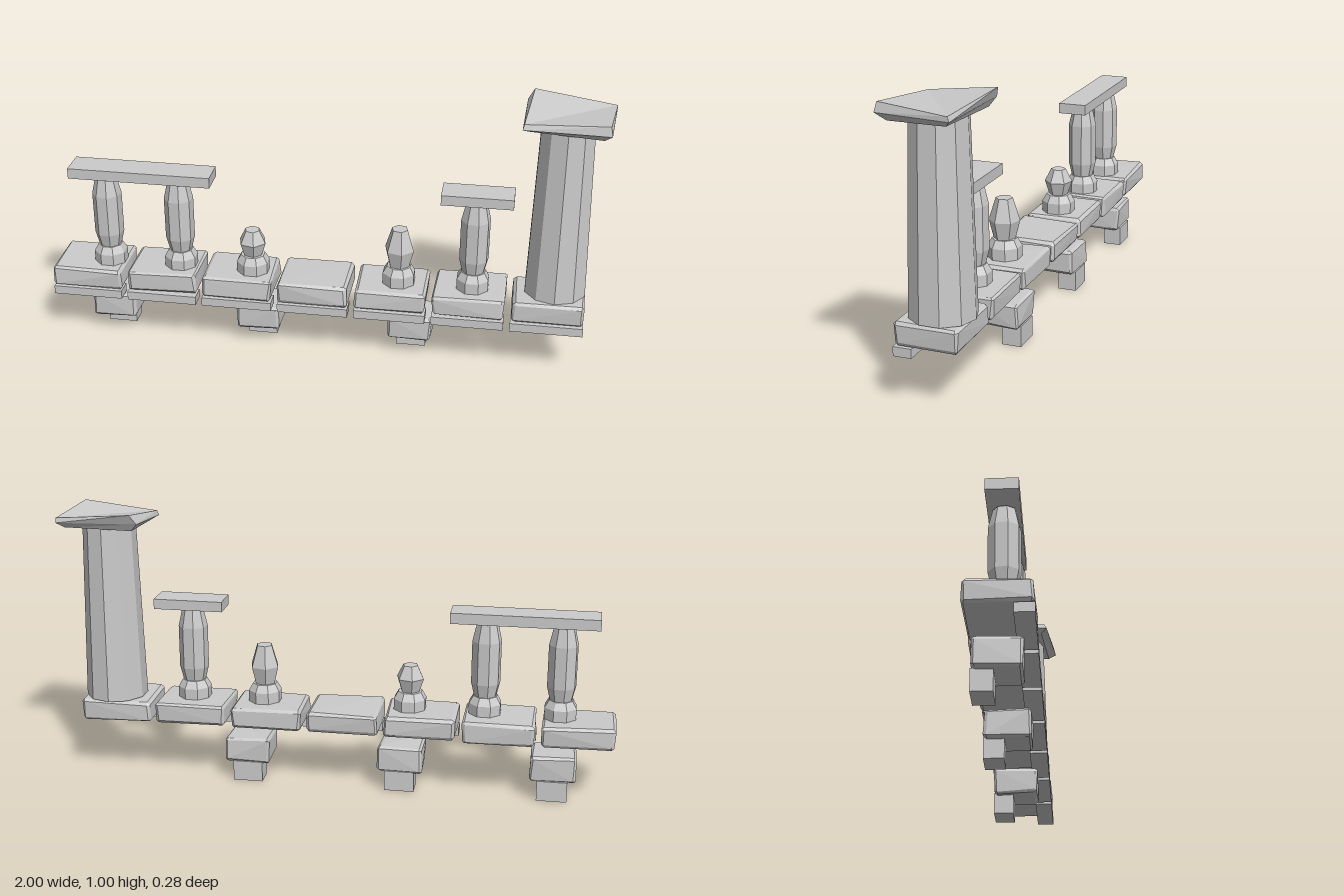
import * as THREE from 'three';
import { ConvexGeometry } from 'three/addons/geometries/ConvexGeometry.js';

export function createModel() {
  const model = new THREE.Group();
  const stone = new THREE.MeshStandardMaterial({ color: 0xcccccc, flatShading: true });

  let seed = 7;
  const jitter = (amount) => {
    seed = (seed * 16807) % 2147483647;
    return (seed / 2147483647 - 0.5) * 2 * amount;
  };

  const add = (name, geometry, parent = model) => {
    const mesh = new THREE.Mesh(geometry, stone);
    mesh.name = name;
    parent.add(mesh);
    return mesh;
  };

  // Plain box given by its limits
  const box = (name, [x0, x1], [y0, y1], [z0, z1], parent) => {
    const g = new THREE.BoxGeometry(x1 - x0, y1 - y0, z1 - z0);
    g.translate((x0 + x1) / 2, (y0 + y1) / 2, (z0 + z1) / 2);
    return add(name, g, parent);
  };

  // Rough-hewn block: uneven corners, each cut into a small chamfer
  const roughBlock = (name, xs, ys, zs, cut, wobble, parent) => {
    const points = [];
    for (const i of [0, 1]) for (const j of [0, 1]) for (const k of [0, 1]) {
      const sign = [i, j, k].map((n) => (n ? -1 : 1));
      const corner = [xs[i], ys[j], zs[k]].map((v, a) => v + sign[a] * Math.abs(jitter(wobble)));
      for (let axis = 0; axis < 3; axis++) {
        const p = corner.map((v, a) => (a === axis ? v : v + sign[a] * (cut + jitter(cut * 0.4))));
        points.push(new THREE.Vector3(...p));
      }
    }
    return add(name, new ConvexGeometry(points), parent);
  };

  const lathe = (profile, sides) =>
    new THREE.LatheGeometry(profile.map(([r, y]) => new THREE.Vector2(r, y)), sides);

  // Row of floor slabs with a moulding strip under the front edge
  for (let i = 0; i < 7; i++) {
    const x = -1 + i * 0.281;
    roughBlock('floorSlab', [x, x + 0.262], [0.207, 0.291], [-0.1, 0.12], 0.009, 0.007);
    box('frontStrip', [x + 0.002, x + 0.26], [0.174, 0.206], [0.057, 0.12]);
  }

  // Stepped corbels under the slabs
  for (const x of [-0.784, -0.235, 0.326]) {
    const corbel = new THREE.Group();
    corbel.name = 'corbel';
    roughBlock('upperCorbel', [x - 0.084, x + 0.084], [0.066, 0.168], [-0.081, 0.083], 0.009, 0.008, corbel);
    box('lowerCorbel', [x - 0.054, x + 0.054], [0, 0.075], [-0.08, -0.01], corbel);
    model.add(corbel);
  }

  // Balusters: three whole, two broken off short
  const foot = [[0, 0.285], [0.061, 0.285], [0.061, 0.328], [0.045, 0.355], [0, 0.355]];
  const whole = [[0, 0.335], [0.036, 0.335], [0.053, 0.405], [0.053, 0.56], [0.038, 0.625], [0, 0.632]];
  const low = [[0, 0.335], [0.032, 0.345], [0.052, 0.405], [0.028, 0.453], [0, 0.453]];
  const high = [[0, 0.335], [0.036, 0.345], [0.055, 0.42], [0.03, 0.5], [0, 0.5]];
  const balusters = [
    [-0.8, whole, 8], [-0.531, whole, 8], [-0.26, low, 6], [0.278, high, 6], [0.545, whole, 8],
  ];
  for (const [x, profile, sides] of balusters) {
    const baluster = new THREE.Group();
    baluster.name = 'baluster';
    baluster.position.set(x, 0, 0.02);
    add('balusterFoot', lathe(foot, 8), baluster).rotation.y = Math.PI / 8;
    add('balusterBody', lathe(profile, sides), baluster).rotation.y = 0.25;
    model.add(baluster);
  }

  // Remaining lengths of handrail
  box('handrail', [-0.925, -0.402], [0.631, 0.67], [-0.035, 0.071]);
  box('handrail', [0.422, 0.675], [0.631, 0.668], [-0.035, 0.071]);

  // Tapered column
  const shaft = add('columnShaft', new THREE.CylinderGeometry(0.095, 0.112, 0.655, 10));
  shaft.position.set(0.838, 0.6175, -0.005);

  // Capital: stacked four-corner rings; top folds along one diagonal
  const rings = [
    [[0.72, 0.937, -0.115], [0.71, 0.935, 0.085], [0.955, 0.93, 0.11], [0.975, 0.935, -0.09]],
    [[0.695, 0.965, -0.132], [0.685, 0.948, 0.108], [0.978, 0.957, 0.14], [1.0, 0.955, -0.112]],
    [[0.717, 1.0, -0.145], [0.69, 0.966, 0.1], [0.972, 0.99, 0.132], [1.0, 0.972, -0.106]],
  ];
  const index = [0, 2, 1, 0, 3, 2, 8, 9, 11, 9, 10, 11];
  for (let r = 0; r < 2; r++) for (let k = 0; k < 4; k++) {
    const a = r * 4 + k, b = r * 4 + ((k + 1) % 4);
    index.push(a, b, b + 4, a, b + 4, a + 4);
  }
  const capital = new THREE.BufferGeometry();
  capital.setAttribute('position', new THREE.Float32BufferAttribute(rings.flat(2), 3));
  capital.setIndex(index);
  capital.computeVertexNormals();
  add('columnCapital', capital);

  return model;
}
